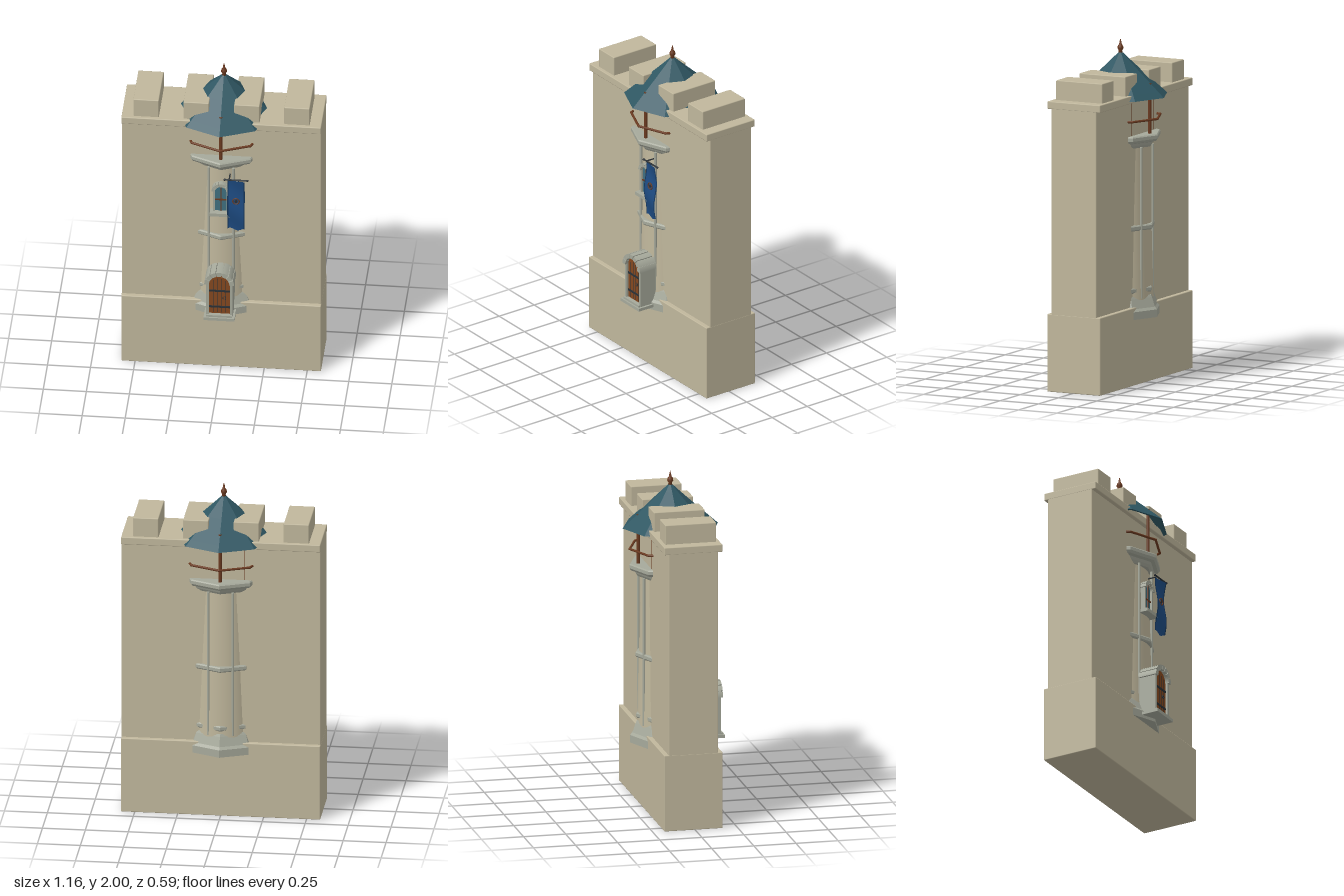
import * as THREE from 'three';
import { RoundedBoxGeometry } from 'three/addons/geometries/RoundedBoxGeometry.js';

const TZ = -0.0125; // depth of the shared wall and tower axis

export function createModel() {
  const mat = (name, color, extra = {}) => Object.assign(new THREE.MeshStandardMaterial({ color, ...extra }), { name });
  const M = {
    wall: mat('sandstone', 0xc0b79c),
    stone: mat('grey trim stone', 0xa6a99b),
    roof: mat('teal roof', 0x2f5763),
    wood: mat('dark wood', 0x6b3a20),
    door: mat('door wood', 0x85481f),
    iron: mat('iron', 0x2b3136),
    glass: mat('window glass', 0x3f6f80),
    cloth: mat('blue cloth', 0x1d4b82, { side: THREE.DoubleSide }),
    edge: mat('dark blue cloth edge', 0x163659, { side: THREE.DoubleSide }),
  };
  const model = new THREE.Group();
  model.name = 'castleWallWithTower';
  const part = (name, parent = model) => {
    const g = new THREE.Group();
    g.name = name;
    parent.add(g);
    return g;
  };
  const add = (name, geo, material, parent, x = 0, y = 0, z = 0) => {
    const m = new THREE.Mesh(geo, material);
    m.name = name;
    m.position.set(x, y, z);
    parent.add(m);
    return m;
  };
  const box = (name, w, h, d, material, parent, x, y, z) =>
    add(name, new THREE.BoxGeometry(w, h, d), material, parent, x, y, z);
  const block = (name, w, y0, y1, d, parent, x = 0) =>
    add(name, new RoundedBoxGeometry(w, y1 - y0, d, 1, 0.005), M.wall, parent, x, (y0 + y1) / 2, 0);
  // Faceted eight-sided solid with a corner facing the front; profile runs bottom to top
  const octagon = (name, profile, material, parent) => {
    const geo = new THREE.LatheGeometry(profile.map(p => new THREE.Vector2(...p)), 8).toNonIndexed();
    geo.computeVertexNormals();
    return add(name, geo, material, parent);
  };
  // Round bar between two points
  const bar = (name, a, b, r, material, parent) => {
    const A = new THREE.Vector3(...a), B = new THREE.Vector3(...b), d = B.clone().sub(A);
    const m = add(name, new THREE.CylinderGeometry(r, r, d.length(), 10), material, parent);
    m.position.copy(A).add(B).multiplyScalar(0.5);
    m.quaternion.setFromUnitVectors(new THREE.Vector3(0, 1, 0), d.normalize());
    return m;
  };
  const ringPoint = (i, r, y, offset = 0) => {
    const a = (i + offset) * Math.PI / 4;
    return [r * Math.sin(a), y, r * Math.cos(a)];
  };
  const trace = (path, hw, y0, yc) => {
    path.moveTo(-hw, y0);
    path.lineTo(hw, y0);
    path.lineTo(hw, yc);
    path.absarc(0, yc, hw, 0, Math.PI, false);
    path.lineTo(-hw, y0);
    return path;
  };
  const extrude = (shape, z0, z1) =>
    new THREE.ExtrudeGeometry(shape, { depth: z1 - z0, bevelEnabled: false, curveSegments: 16 }).translate(0, 0, z0);
  // Arched surround, its infill and a crown of wedge stones
  const archway = (name, parent, o) => {
    const g = part(name, parent);
    const frame = trace(new THREE.Shape(), o.outer, o.y0, o.yc);
    frame.holes.push(trace(new THREE.Path(), o.inner, o.y0 + 0.008, o.yc));
    add('surround', extrude(frame, o.back, o.front), M.stone, g);
    add('infill', extrude(trace(new THREE.Shape(), o.inner + 0.002, o.y0, o.yc), o.back, o.fill), o.material, g);
    const n = 7, gap = 0.03;
    for (let i = 0; i < n; i++) {
      const a0 = Math.PI * i / n + gap, a1 = Math.PI * (i + 1) / n - gap;
      const s = new THREE.Shape();
      s.absarc(0, o.yc, o.crown, a0, a1, false);
      s.absarc(0, o.yc, o.inner - 0.001, a1, a0, true);
      s.closePath();
      add('archStone', extrude(s, o.back, o.front + 0.01), M.stone, g);
    }
    return g;
  };

  // Wall with plinth, coping and battlements
  const wall = part('wall');
  wall.position.z = TZ + 0.003;
  block('plinth', 1.16, 0, 0.455, 0.347, wall);
  block('wallBody', 1.158, 0.44, 1.665, 0.294, wall);
  block('coping', 1.16, 1.655, 1.7, 0.345, wall);
  for (const s of [-1, 1])
    for (const x of [0.147, 0.438]) block('merlon', 0.148, 1.69, 1.815, 0.302, wall, s * x);

  // Round tapering tower with octagonal bands
  const tower = part('tower');
  tower.position.z = TZ;
  add('shaft', new THREE.CylinderGeometry(0.168, 0.193, 0.92, 48, 1, true), M.wall, tower, 0, 0.95, 0);
  octagon('foot', [[0, 0.385], [0.238, 0.385], [0.238, 0.43], [0.225, 0.445], [0.205, 0.5], [0.198, 0.515], [0.17, 0.515]], M.stone, tower);
  const band = (y, r) => octagon('band',
    [[0.16, y - 0.016], [r - 0.006, y - 0.016], [r, y - 0.009], [r, y + 0.009], [r - 0.006, y + 0.016], [0.16, y + 0.016]], M.stone, tower);
  band(0.548, 0.203);
  band(0.913, 0.207);
  octagon('balcony', [[0.15, 1.375], [0.192, 1.38], [0.203, 1.395], [0.21, 1.41], [0.232, 1.416], [0.243, 1.43], [0.243, 1.449], [0.237, 1.456], [0, 1.456]], M.stone, tower);
  for (let i = 0; i < 8; i++)
    bar('colonette', ringPoint(i, 0.187, 0.5, 0.5), ringPoint(i, 0.187, 1.385, 0.5), 0.008, M.stone, tower);

  // Open lookout: posts and railing
  const lookout = part('lookout', tower);
  for (let i = 0; i < 8; i++) {
    bar('post', ringPoint(i, 0.19, 1.45), ringPoint(i, 0.19, 1.75), 0.01, M.wood, lookout);
    bar('rail', ringPoint(i, 0.241, 1.545), ringPoint(i + 1, 0.241, 1.545), 0.007, M.wood, lookout);
    add('railJoint', new THREE.SphereGeometry(0.0075, 10, 8), M.wood, lookout, ...ringPoint(i, 0.241, 1.545));
  }

  // Eight-sided roof with thin eaves and turned finial
  octagon('roof', [[0, 1.905], [0.12, 1.8], [0.272, 1.668], [0.283, 1.67], [0.248, 1.702], [0.12, 1.817], [0.05, 1.882], [0, 1.93]], M.roof, tower);
  add('finial', new THREE.LatheGeometry([[0, 1.91], [0.013, 1.915], [0.01, 1.928], [0.018, 1.942], [0.015, 1.956], [0.008, 1.965], [0.005, 1.982], [0, 2]]
    .map(p => new THREE.Vector2(...p)), 16), M.wood, tower);

  // Projecting doorway
  const door = archway('doorway', tower, {
    outer: 0.077, inner: 0.061, y0: 0.415, yc: 0.643, crown: 0.087, back: 0.175, front: 0.284, fill: 0.27, material: M.door });
  box('doorstep', 0.18, 0.018, 0.14, M.stone, door, 0, 0.412, 0.235);
  box('threshold', 0.15, 0.012, 0.12, M.stone, door, 0, 0.427, 0.235);
  for (const x of [-0.036, -0.012, 0.012, 0.036])
    box('plankGap', 0.003, 0.24 - Math.abs(x) * 0.5, 0.003, M.iron, door, x, 0.56 - Math.abs(x) * 0.25, 0.27);
  for (const y of [0.48, 0.59]) box('hingeStrap', 0.12, 0.011, 0.006, M.iron, door, 0, y, 0.272);
  add('doorRing', new THREE.TorusGeometry(0.009, 0.0022, 6, 16), M.iron, door, 0.028, 0.545, 0.275);

  // Arched window
  const win = archway('window', tower, {
    outer: 0.045, inner: 0.034, y0: 1.085, yc: 1.236, crown: 0.053, back: 0.14, front: 0.196, fill: 0.185, material: M.glass });
  box('sill', 0.125, 0.02, 0.07, M.stone, win, 0, 1.084, 0.187);
  box('mullion', 0.006, 0.17, 0.008, M.wood, win, 0, 1.18, 0.187);
  box('transom', 0.068, 0.008, 0.008, M.wood, win, 0, 1.172, 0.187);

  // Hanging banner, softly rippled, with a ragged hem
  const banner = part('banner', tower);
  banner.position.set(0.091, 0, 0.222);
  const ripple = (x, y) => 0.009 * Math.sin((y - 1.33) * 22 + x * 18);
  const cloth = (name, w, x, z, material) => {
    const geo = new THREE.PlaneGeometry(w, 0.34, Math.max(2, Math.round(w * 100)), 20);
    const p = geo.attributes.position;
    for (let i = 0; i < p.count; i++) {
      const px = p.getX(i) + x, t = 0.5 - p.getY(i) / 0.34;
      const y = 1.328 - t * (0.34 + 0.008 * Math.cos(px * 75 - 0.6));
      p.setXYZ(i, px, y, ripple(px, y) + z);
    }
    geo.computeVertexNormals();
    add(name, geo, material, banner);
  };
  cloth('bannerCloth', 0.1, 0, 0, M.cloth);
  for (const s of [-1, 1]) cloth('bannerEdge', 0.007, s * 0.047, 0.002, M.edge);
  const ez = ripple(0, 1.19) + 0.004;
  add('emblemRing', new THREE.TorusGeometry(0.019, 0.0035, 6, 24), M.wood, banner, 0, 1.19, ez);
  add('emblemDisc', new THREE.CylinderGeometry(0.009, 0.009, 0.006, 12).rotateX(Math.PI / 2), M.iron, banner, 0, 1.19, ez);
  bar('bannerRod', [-0.066, 1.335, 0], [0.066, 1.335, 0], 0.005, M.iron, banner);
  for (const x of [-0.066, 0.066]) add('rodEnd', new THREE.SphereGeometry(0.007, 10, 8), M.iron, banner, x, 1.335, 0);
  bar('rodBracket', [-0.04, 1.335, 0], [-0.04, 1.335, -0.07], 0.004, M.iron, banner);

  return model;
}
